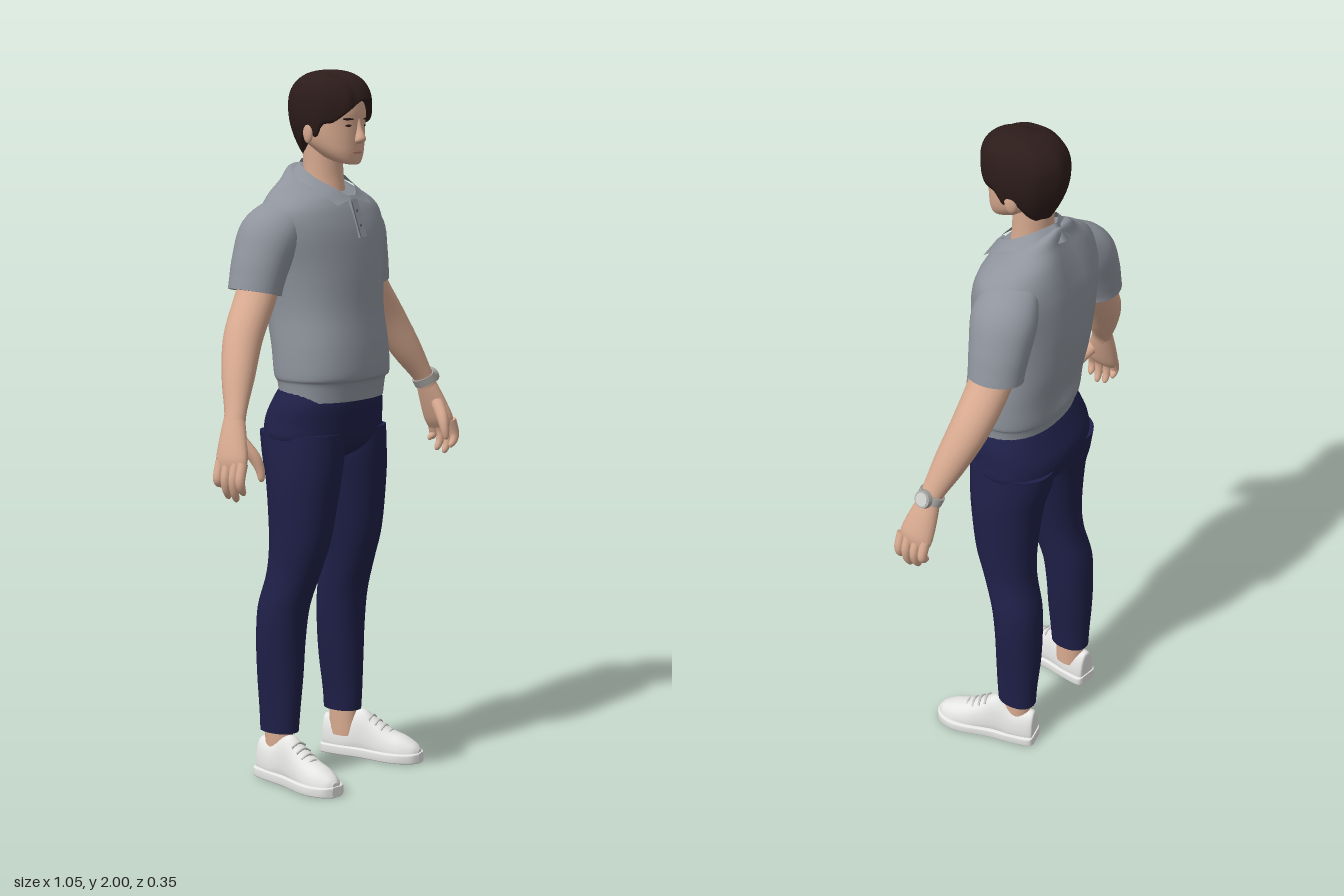
import * as THREE from 'three';
import { ParametricGeometry } from 'three/addons/geometries/ParametricGeometry.js';

const V = (x, y, z) => new THREE.Vector3(x, y, z);
const mat = (name, color, side = THREE.FrontSide) => {
  const m = new THREE.MeshStandardMaterial({ color, side });
  m.name = name;
  return m;
};

// Superellipse helper: keeps the sign, squares the curve off as n grows
const se = (c, n) => Math.sign(c) * Math.pow(Math.abs(c), 2 / n);

// Smoothly resample a short table of rows
function resample(rows, steps) {
  const out = [], last = rows.length - 1;
  const at = (i) => rows[Math.min(last, Math.max(0, i))];
  for (let i = 0; i < last; i++) {
    for (let s = 0; s < steps; s++) {
      const t = s / steps, a = at(i - 1), b = at(i), c = at(i + 1), d = at(i + 2);
      out.push(b.map((_, k) => 0.5 * (2 * b[k] + (c[k] - a[k]) * t
        + (2 * a[k] - 5 * b[k] + 4 * c[k] - d[k]) * t * t
        + (3 * b[k] - a[k] - 3 * c[k] + d[k]) * t * t * t)));
    }
  }
  out.push(rows[last]);
  return out;
}

// Closed rings of points joined into a skin, with a flat cap on each end
function skin(rings) {
  const pos = [], idx = [], n = rings[0].length;
  rings.forEach((r) => r.forEach((p) => pos.push(p.x, p.y, p.z)));
  for (let i = 0; i < rings.length - 1; i++) {
    for (let j = 0; j < n; j++) {
      const a = i * n + j, b = i * n + (j + 1) % n;
      idx.push(a, b, b + n, a, b + n, a + n);
    }
  }
  [rings[0], rings[rings.length - 1]].forEach((r, end) => {
    const base = pos.length / 3, c = V(0, 0, 0);
    r.forEach((p) => { pos.push(p.x, p.y, p.z); c.addScaledVector(p, 1 / n); });
    pos.push(c.x, c.y, c.z);
    for (let j = 0; j < n; j++) {
      const a = base + j, b = base + (j + 1) % n;
      idx.push(...(end ? [a, b, base + n] : [b, a, base + n]));
    }
  });
  const g = new THREE.BufferGeometry();
  g.setAttribute('position', new THREE.Float32BufferAttribute(pos, 3));
  g.setIndex(idx);
  g.computeVertexNormals();
  return g;
}
const ring = (n, f) => Array.from({ length: n }, (_, j) => f(j / n * Math.PI * 2));

// Upright loft, rows from the bottom up: y, xMin, xMax, zFront, zBack, forward tilt
function body(rows, n = 2.3, bend = () => 0, cols = 40) {
  return skin(resample(rows, 5).map(([y, x0, x1, zf, zb, tilt]) => ring(cols, (a) => {
    const x = (x0 + x1) / 2 + (x1 - x0) / 2 * se(Math.sin(a), n);
    const dz = (zf - zb) / 2 * se(Math.cos(a), n);
    return V(x, y - tilt * dz, (zf + zb) / 2 + dz + bend(x, y, dz));
  })));
}
const sym = (rows) => rows.map(([y, r, zf, zb, t = 0]) => [y, -r, r, zf, zb, t]);

// Limb along a path, rows: x, y, z, radius across, radius along z
function limb(rows, cols = 20) {
  const r = resample(rows, 5);
  const p = r.map((q) => V(q[0], q[1], q[2]));
  return skin(r.map((q, i) => {
    const T = p[Math.min(i + 1, p.length - 1)].clone().sub(p[Math.max(i - 1, 0)]).normalize();
    const A = V(0, 0, 1).addScaledVector(T, -T.z).normalize();
    const B = T.clone().cross(A);
    return ring(cols, (a) => p[i].clone().addScaledVector(B, q[3] * Math.sin(a)).addScaledVector(A, q[4] * Math.cos(a)));
  }));
}

// Shoe loft, rows from heel to toe: z, half width, height
function shoe(rows, n, narrow) {
  const g = skin(resample(rows, 5).map(([z, w, h]) => ring(28, (a) => {
    const up = (se(Math.cos(a), n) + 1) / 2;
    return V(-w * se(Math.sin(a), n) * (1 - narrow * up), h * up, z);
  })));
  return g.rotateY(0.18).translate(0.175, 0, 0);
}

function mirrored(geo) {
  const g = geo.clone().scale(-1, 1, 1), ix = g.index.array;
  for (let i = 0; i < ix.length; i += 3) [ix[i], ix[i + 1]] = [ix[i + 1], ix[i]];
  return g;
}

export function createModel() {
  const model = new THREE.Group();
  const shirt = mat('greyKnit', 0x8f949d, THREE.DoubleSide), navy = mat('navyCloth', 0x1f2048);
  const flesh = mat('skin', 0xd8aa90), hairMat = mat('darkBrownHair', 0x2c1c1a);
  const white = mat('whiteLeather', 0xe6e6e5), lace = mat('lace', 0xcdcdcc);
  const steel = mat('steel', 0xaaa8a4), lip = mat('lip', 0xba7d6d), button = mat('button', 0x5c6068);
  const add = (name, geo, m) => {
    const mesh = new THREE.Mesh(geo, m);
    mesh.name = name;
    model.add(mesh);
    return mesh;
  };
  const pair = (name, geo, m) => {
    add(name + 'Left', geo, m);
    add(name + 'Right', mirrored(geo), m);
  };
  const blob = (x, y, z, sx, sy, sz, turn = 0) =>
    new THREE.SphereGeometry(1, 20, 12).scale(sx, sy, sz).rotateY(turn).translate(x, y, z);

  // Shirt: torso with ribbed hem and a shallow spine groove
  add('shirtBody', body(sym([
    [1.09, 0.172, 0.122, -0.114], [1.14, 0.177, 0.129, -0.12], [1.16, 0.184, 0.143, -0.131],
    [1.24, 0.183, 0.14, -0.142], [1.34, 0.178, 0.128, -0.165], [1.45, 0.19, 0.121, -0.176],
    [1.55, 0.212, 0.107, -0.172], [1.61, 0.213, 0.087, -0.16], [1.65, 0.18, 0.072, -0.146, 0.1],
    [1.68, 0.125, 0.062, -0.132, 0.25], [1.70, 0.085, 0.055, -0.12, 0.5], [1.70, 0.05, 0.02, -0.08, 0.5],
  ]), 2.3, (x, y, dz) => (dz < 0 && y > 1.2 ? 0.012 * Math.exp(-((x / 0.05) ** 2)) : 0)), shirt);
  pair('sleeve', limb([
    [0.14, 1.615, -0.05, 0.045, 0.075], [0.195, 1.555, -0.06, 0.075, 0.092], [0.23, 1.48, -0.066, 0.074, 0.085],
    [0.248, 1.425, -0.068, 0.07, 0.079], [0.254, 1.398, -0.069, 0.07, 0.077],
  ], 32), shirt);

  // Open collar, swept between its top and bottom edges
  const top = new THREE.CatmullRomCurve3([V(0.008, 1.648, 0.08), V(0.045, 1.675, 0.052), V(0.07, 1.705, 0), V(0.06, 1.74, -0.06), V(0, 1.755, -0.1)]);
  const low = new THREE.CatmullRomCurve3([V(0.077, 1.63, 0.083), V(0.094, 1.66, 0.045), V(0.1, 1.688, -0.01), V(0.085, 1.705, -0.085), V(0, 1.71, -0.135)]);
  add('collar', new ParametricGeometry((u, v, target) => {
    const s = u * 2 - 1, t = 1 - Math.abs(s);
    target.copy(low.getPoint(t)).lerp(top.getPoint(t), v);
    if (s < 0) target.x *= -1;
  }, 48, 4), shirt);

  // Button placket
  add('placket', new THREE.BoxGeometry(0.032, 0.11, 0.008).rotateX(-0.32).translate(0, 1.592, 0.094), shirt);
  add('placketSeam', new THREE.BoxGeometry(0.003, 0.1, 0.003).rotateX(-0.32).translate(-0.014, 1.592, 0.098), button);
  [1.615, 1.575].forEach((y) => add('shirtButton', blob(0, y, 0.0985 + (1.592 - y) * 0.33, 0.005, 0.005, 0.003), button));

  // Trousers
  add('trouserSeat', body(sym([
    [0.915, 0.06, 0.03, -0.07], [0.94, 0.15, 0.075, -0.125], [0.98, 0.197, 0.103, -0.153],
    [1.03, 0.197, 0.11, -0.156], [1.08, 0.19, 0.112, -0.135], [1.13, 0.165, 0.105, -0.11],
  ])), navy);
  pair('trouserLeg', body([
    [0.14, 0.108, 0.195, -0.01, -0.127, 0], [0.2, 0.103, 0.197, -0.006, -0.13, 0], [0.3, 0.088, 0.203, -0.002, -0.137, 0],
    [0.4, 0.076, 0.21, 0, -0.138, 0], [0.5, 0.069, 0.21, 0.012, -0.133, 0], [0.6, 0.06, 0.199, 0.045, -0.11, 0],
    [0.7, 0.044, 0.2, 0.075, -0.105, 0], [0.85, 0.018, 0.204, 0.094, -0.118, 0],
    [0.93, 0.003, 0.202, 0.1, -0.138, 0], [1.0, 0.006, 0.197, 0.1, -0.15, 0],
  ], 2.2), navy);

  // Feet
  pair('ankle', body([[0.06, 0.122, 0.185, -0.02, -0.11, 0], [0.16, 0.122, 0.185, -0.025, -0.115, 0]], 2, undefined, 20), flesh);
  pair('shoeUpper', shoe([
    [-0.133, 0.025, 0.1], [-0.125, 0.036, 0.115], [-0.07, 0.044, 0.11], [-0.025, 0.044, 0.135], [0.0, 0.045, 0.136],
    [0.03, 0.049, 0.115], [0.08, 0.056, 0.087], [0.125, 0.054, 0.072], [0.16, 0.038, 0.054], [0.174, 0.018, 0.04],
  ], 2.5, 0.35), white);
  pair('shoeSole', shoe([
    [-0.137, 0.024, 0.03], [-0.125, 0.04, 0.03], [-0.06, 0.046, 0.03], [0.0, 0.047, 0.03], [0.08, 0.059, 0.03],
    [0.125, 0.057, 0.03], [0.163, 0.04, 0.03], [0.179, 0.016, 0.03],
  ], 7, 0), white);
  for (let i = 0; i < 4; i++) {
    const z = 0.02 + i * 0.02, y = 0.124 - i * 0.0125;
    const curve = new THREE.CatmullRomCurve3([V(-0.026, y - 0.012, z), V(0, y, z + 0.003), V(0.026, y - 0.012, z)]);
    pair('shoelace', new THREE.TubeGeometry(curve, 10, 0.0035, 6).rotateY(0.18).translate(0.175, 0, 0), lace);
  }

  // Arms and hands
  pair('arm', limb([
    [0.215, 1.48, -0.065, 0.055, 0.06], [0.26, 1.39, -0.06, 0.052, 0.06], [0.335, 1.285, -0.045, 0.051, 0.056],
    [0.395, 1.185, -0.015, 0.043, 0.046], [0.44, 1.105, 0.012, 0.027, 0.033], [0.455, 1.07, 0.02, 0.025, 0.031],
  ], 24), flesh);
  pair('palm', limb([
    [0.45, 1.085, 0.016, 0.024, 0.03], [0.47, 1.03, 0.026, 0.026, 0.042], [0.489, 0.975, 0.037, 0.024, 0.05],
    [0.497, 0.945, 0.042, 0.014, 0.044],
  ]), flesh);
  [[0.004, 0.9], [0.03, 0.872], [0.057, 0.866], [0.08, 0.885]].forEach(([z, tip]) => pair('finger', limb([
    [0.496, 0.97, z, 0.014, 0.014], [0.51, 0.93, z + 0.002, 0.0135, 0.0135], [0.507, (0.93 + tip) / 2, z + 0.002, 0.012, 0.012],
    [0.496, tip + 0.008, z, 0.009, 0.009], [0.493, tip, z, 0.004, 0.004],
  ], 12), flesh));
  pair('thumb', limb([
    [0.468, 1.035, 0.04, 0.018, 0.02], [0.448, 0.985, 0.078, 0.016, 0.018], [0.44, 0.95, 0.093, 0.013, 0.013],
    [0.44, 0.925, 0.098, 0.009, 0.009], [0.44, 0.917, 0.099, 0.004, 0.004],
  ], 12), flesh);

  // Wristwatch on the left arm
  add('watchBand', limb([[0.443, 1.1, 0.012, 0.032, 0.038], [0.453, 1.079, 0.018, 0.031, 0.037]]), steel);
  const aim = new THREE.Quaternion().setFromUnitVectors(V(0, 1, 0), V(0.9, 0.4, 0.1).normalize());
  add('watchCase', new THREE.CylinderGeometry(0.024, 0.026, 0.014, 28).applyQuaternion(aim).translate(0.48, 1.1, 0.018), steel);
  add('watchDial', new THREE.CylinderGeometry(0.019, 0.019, 0.003, 28).applyQuaternion(aim).translate(0.4872, 1.1032, 0.0188), lace);

  // Neck, head and face
  add('neck', body(sym([[1.6, 0.068, 0.05, -0.09], [1.68, 0.06, 0.035, -0.085], [1.73, 0.057, 0.03, -0.08], [1.82, 0.058, 0.03, -0.085]]), 2), flesh);
  add('head', body(sym([
    [1.748, 0.028, 0.08, 0.005, 0.2], [1.757, 0.049, 0.09, -0.02, 0.25], [1.78, 0.068, 0.095, -0.05, 0.18],
    [1.81, 0.08, 0.097, -0.085, 0.08], [1.85, 0.086, 0.098, -0.1], [1.89, 0.088, 0.1, -0.108],
    [1.94, 0.082, 0.09, -0.1], [1.975, 0.05, 0.05, -0.06],
  ]), 2.2), flesh);
  add('nose', body(sym([
    [1.797, 0.008, 0.1, 0.08], [1.803, 0.016, 0.112, 0.08], [1.814, 0.016, 0.118, 0.08],
    [1.84, 0.009, 0.107, 0.08], [1.87, 0.007, 0.099, 0.08],
  ]), 2, undefined, 20), flesh);
  pair('ear', blob(0.087, 1.832, -0.012, 0.01, 0.033, 0.019, 0.25), flesh);
  pair('eye', blob(0.034, 1.848, 0.0885, 0.013, 0.0045, 0.004, 0.3), hairMat);
  pair('eyebrow', blob(0.035, 1.866, 0.089, 0.02, 0.004, 0.005, 0.32), hairMat);
  add('mouth', blob(0, 1.775, 0.0925, 0.022, 0.005, 0.004), lip);

  // Hair: domed shell whose lower edge follows fringe, sideburn and nape
  const edge = resample([[0, 1.918], [0.3, 1.912], [0.6, 1.885], [0.95, 1.857], [1.25, 1.85], [1.45, 1.815],
    [1.7, 1.84], [2.1, 1.79], [2.6, 1.762], [3.142, 1.755]], 6);
  const edgeY = (a) => {
    const k = Math.max(1, edge.findIndex((e) => e[0] >= a - 0.001)), [p, q] = [edge[k - 1], edge[k]];
    return p[1] + (q[1] - p[1]) * (a - p[0]) / (q[0] - p[0]);
  };
  const rows = 22;
  add('hair', skin(Array.from({ length: rows + 1 }, (_, i) => ring(72, (a) => {
    const yb = edgeY(Math.min(a, Math.PI * 2 - a));
    const y = yb + (2 - yb) * Math.sin(Math.max(0, i - 1) / (rows - 1) * Math.PI / 2);
    let f = y > 1.9 ? Math.pow(Math.max(0, 1 - Math.pow((y - 1.9) / 0.1, 2.4)), 1 / 2.4) : 1 - 0.42 * ((1.9 - y) / 0.145) ** 2;
    f *= (i === 0 ? 0.8 : 1) * (1 + 0.012 * Math.sin(a * 9));
    const x = 0.102 * f * Math.sin(a), z = 0.124 * f * Math.cos(a);
    const part = z > -0.03 ? Math.exp(-(((x + 0.035) / 0.012) ** 2)) : 0;
    return V(x, y - 0.007 * part, z * (1 - 0.05 * part));
  }))), hairMat);

  return model;
}
